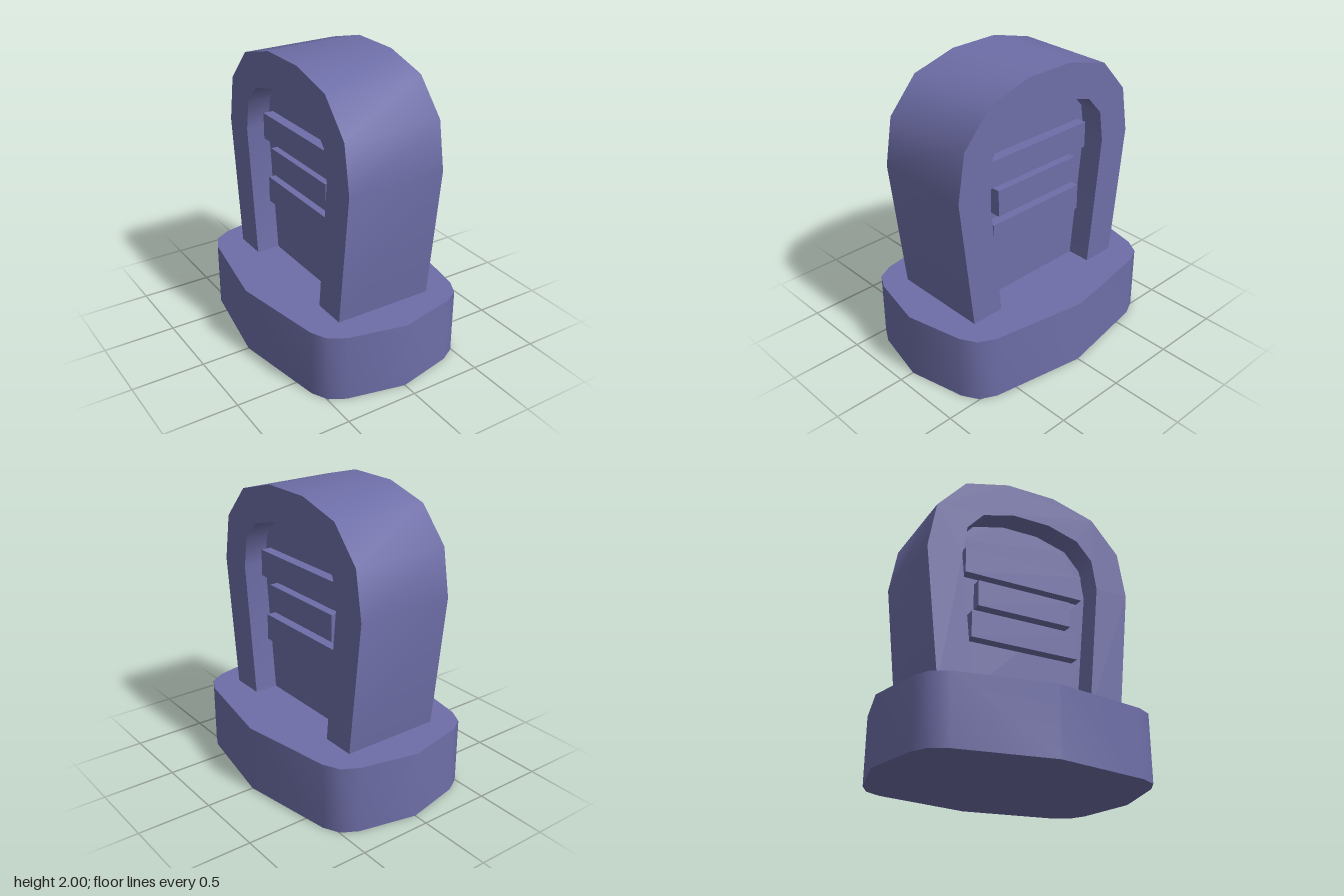
import * as THREE from 'three';
import { toCreasedNormals } from 'three/addons/utils/BufferGeometryUtils.js';

const CREASE = 0.72;
const BASE_TOP = 0.46;
const HALF_WIDTH = 0.343; // slab half thickness along x
const PANEL_X = 0.178; // recessed face
const BAR_X = 0.25; // front of the raised bars

// Right halves of the outlines, from the foot to the crown
const outer = [[0.645, BASE_TOP], [0.745, 1.37], [0.69, 1.688], [0.488, 1.915], [0.178, 2]];
const inner = [[0.413, BASE_TOP], [0.505, 1.37], [0.472, 1.58], [0.358, 1.706], [0.135, 1.77]];

// Complete a half outline by mirroring it, foot to foot
const mirrored = (half) => [...half, ...half.map(([a, b]) => [-a, b]).reverse()];

function prism(points, depth) {
  const shape = new THREE.Shape(points.map(([a, b]) => new THREE.Vector2(a, b)));
  return new THREE.ExtrudeGeometry(shape, { depth, bevelEnabled: false });
}

// Extrude a z-y outline across x, centred on x = 0
function across(points, halfWidth) {
  const geometry = prism(points, halfWidth * 2);
  geometry.translate(0, 0, -halfWidth).rotateY(Math.PI / 2);
  return toCreasedNormals(geometry, CREASE);
}

export function createModel() {
  const group = new THREE.Group();
  const stone = new THREE.MeshStandardMaterial({ color: 0x6e6ea8 });
  stone.name = 'violetStone';

  const add = (name, geometry) => {
    const mesh = new THREE.Mesh(geometry, stone);
    mesh.name = name;
    group.add(mesh);
    return mesh;
  };

  // Faceted plinth, one quarter outline mirrored both ways
  const side = [[0.39, -0.813], [0.495, -0.753], [0.55, -0.645], [0.66, 0],
    [0.55, 0.645], [0.495, 0.753], [0.39, 0.813]];
  const outline = [[0, -0.9], ...side, [0, 0.9], ...side.map(([x, z]) => [-x, z]).reverse()];
  add('plinth', toCreasedNormals(prism(outline, BASE_TOP).rotateX(-Math.PI / 2), CREASE));

  // Arched border, open at the foot, around a thinner panel
  add('archBorder', across([...mirrored(outer), ...mirrored(inner).reverse()], HALF_WIDTH));
  add('recessedPanel', across(mirrored(inner), PANEL_X));

  // Raised bars on both faces: centre height and half length
  const bars = [[1.4, 0.437], [1.178, 0.342], [0.948, 0.386]];
  for (const s of [1, -1]) {
    bars.forEach(([y, halfLength], i) => {
      const depth = BAR_X - PANEL_X + 0.02;
      const bar = add(`${s > 0 ? 'left' : 'right'}Bar${i + 1}`,
        new THREE.BoxGeometry(depth, 0.182, halfLength * 2));
      bar.position.set(s * (BAR_X - depth / 2), y, 0);
    });
  }
  return group;
}
